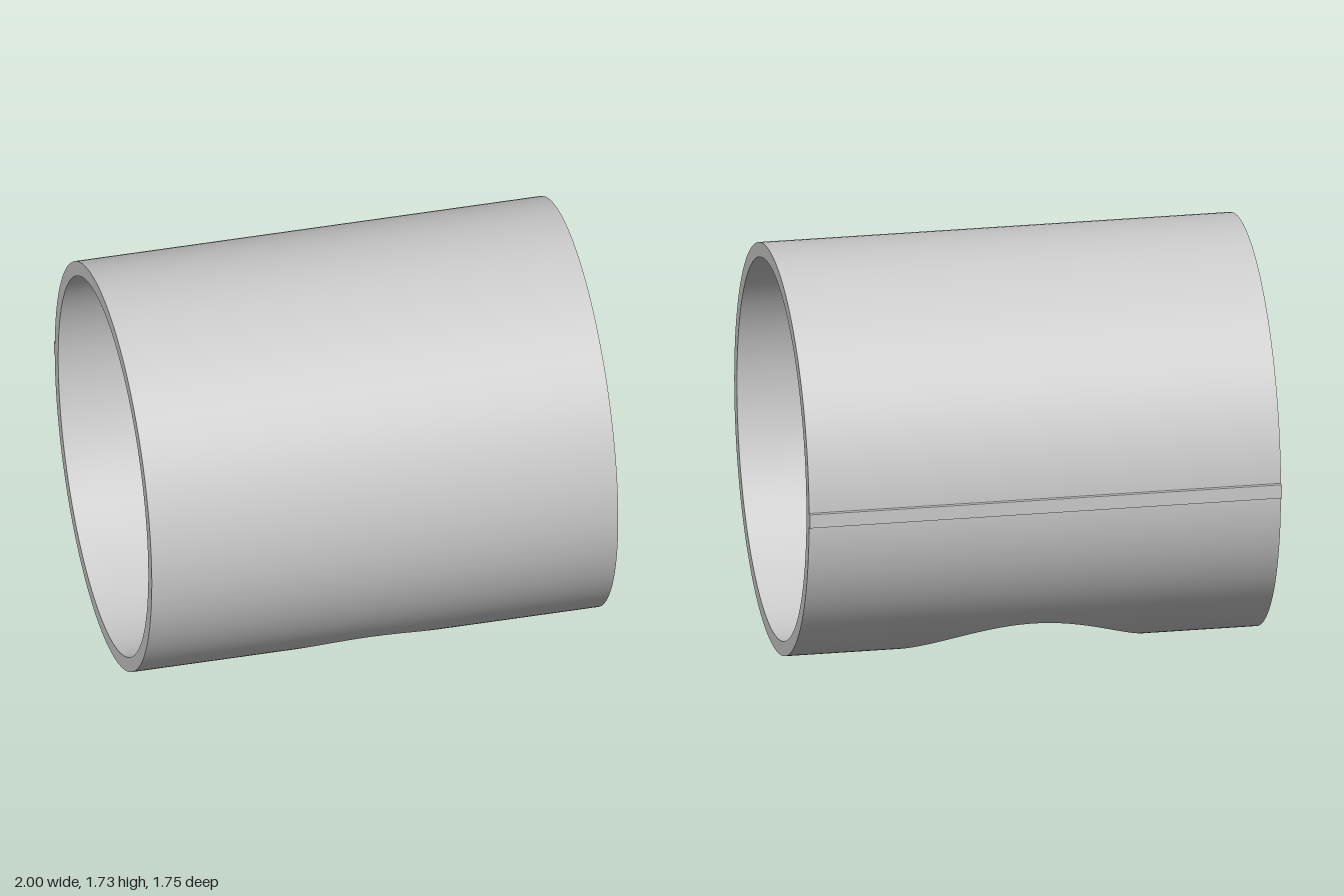
import * as THREE from 'three';

const RO = 0.865, RI = 0.803, HOLE = 0.6, HALF = 1;   // radii and half length
const CY = 0.865, CZ = 0.009;                         // tube axis

// Rows around the tube: hole rows (-90..90 deg of the cutter), then the uncut arc.
function makeRows() {
  const rows = [], nHole = 64, nArc = 120;
  for (let i = 0; i <= nHole; i++) {
    const t = -Math.PI / 2 + (Math.PI * i) / nHole;
    const z = HOLE * Math.sin(t), w = HOLE * Math.cos(t);
    rows.push({ ao: Math.asin(z / RO), ai: Math.asin(z / RI), w, t, hole: true });
  }
  const so = Math.asin(HOLE / RO), si = Math.asin(HOLE / RI);
  for (let i = 1; i <= nArc; i++) {
    const f = i / nArc, arc = (s) => s + (2 * Math.PI - 2 * s) * f;
    rows.push({ ao: arc(so), ai: arc(si), w: 0, t: 0, hole: false });
  }
  return rows;
}

const at = (x, r, a) => new THREE.Vector3(x, CY - r * Math.cos(a), CZ + r * Math.sin(a));
const radial = (a, s) => new THREE.Vector3(0, -s * Math.cos(a), s * Math.sin(a));

// Ribbon between two edges; each row gives [edge point, edge point, normal].
function ribbon(rows) {
  const pos = [], nor = [], idx = [];
  const e1 = new THREE.Vector3(), e2 = new THREE.Vector3();
  const pts = rows.flatMap(([p, q]) => [p, q]);
  rows.forEach(([p, q, n]) => {
    pos.push(...p.toArray(), ...q.toArray());
    nor.push(...n.toArray(), ...n.toArray());
  });
  // Turn every triangle to face along its normal
  const tri = (a, b, c, n) => {
    e1.subVectors(pts[b], pts[a]);
    e2.subVectors(pts[c], pts[a]);
    const d = e1.cross(e2).dot(n);
    if (Math.abs(d) < 1e-12) return;
    if (d > 0) idx.push(a, b, c); else idx.push(a, c, b);
  };
  for (let i = 0; i < rows.length - 1; i++) {
    const k = 2 * i, n = rows[i][2];
    tri(k, k + 1, k + 2, n);
    tri(k + 1, k + 3, k + 2, n);
  }
  const g = new THREE.BufferGeometry();
  g.setAttribute('position', new THREE.Float32BufferAttribute(pos, 3));
  g.setAttribute('normal', new THREE.Float32BufferAttribute(nor, 3));
  g.setIndex(idx);
  return g;
}

export function createModel() {
  const group = new THREE.Group();
  group.name = 'pipeSleeve';
  const material = new THREE.MeshStandardMaterial({ color: 0xcccccc });
  const add = (name, geometry) => {
    const mesh = new THREE.Mesh(geometry, material);
    mesh.name = name;
    group.add(mesh);
    return mesh;
  };
  const rows = makeRows();
  const holeRows = rows.filter((r) => r.hole);

  // Each half of the sleeve, mirrored about x = 0
  for (const [s, side] of [[1, 'left'], [-1, 'right']]) {
    add(side + 'OuterWall', ribbon(rows.map((r) =>
      [at(s * r.w, RO, r.ao), at(s * HALF, RO, r.ao), radial(r.ao, 1)])));
    add(side + 'InnerWall', ribbon(rows.map((r) =>
      [at(s * r.w, RI, r.ai), at(s * HALF, RI, r.ai), radial(r.ai, -1)])));
    add(side + 'EndRing', ribbon(rows.map((r) =>
      [at(s * HALF, RO, r.ao), at(s * HALF, RI, r.ai), new THREE.Vector3(s, 0, 0)])));
    // Vertical rim of the round hole underneath
    add(side + 'HoleRim', ribbon(holeRows.map((r) =>
      [at(s * r.w, RO, r.ao), at(s * r.w, RI, r.ai),
        new THREE.Vector3(-s * Math.cos(r.t), 0, -Math.sin(r.t))])));
  }

  // Narrow rib along the back
  const z0 = -0.8553, z1 = -0.873;
  add('backRib', new THREE.BoxGeometry(2 * HALF, 0.06, z0 - z1))
    .position.set(0, CY, (z0 + z1) / 2);

  return group;
}
